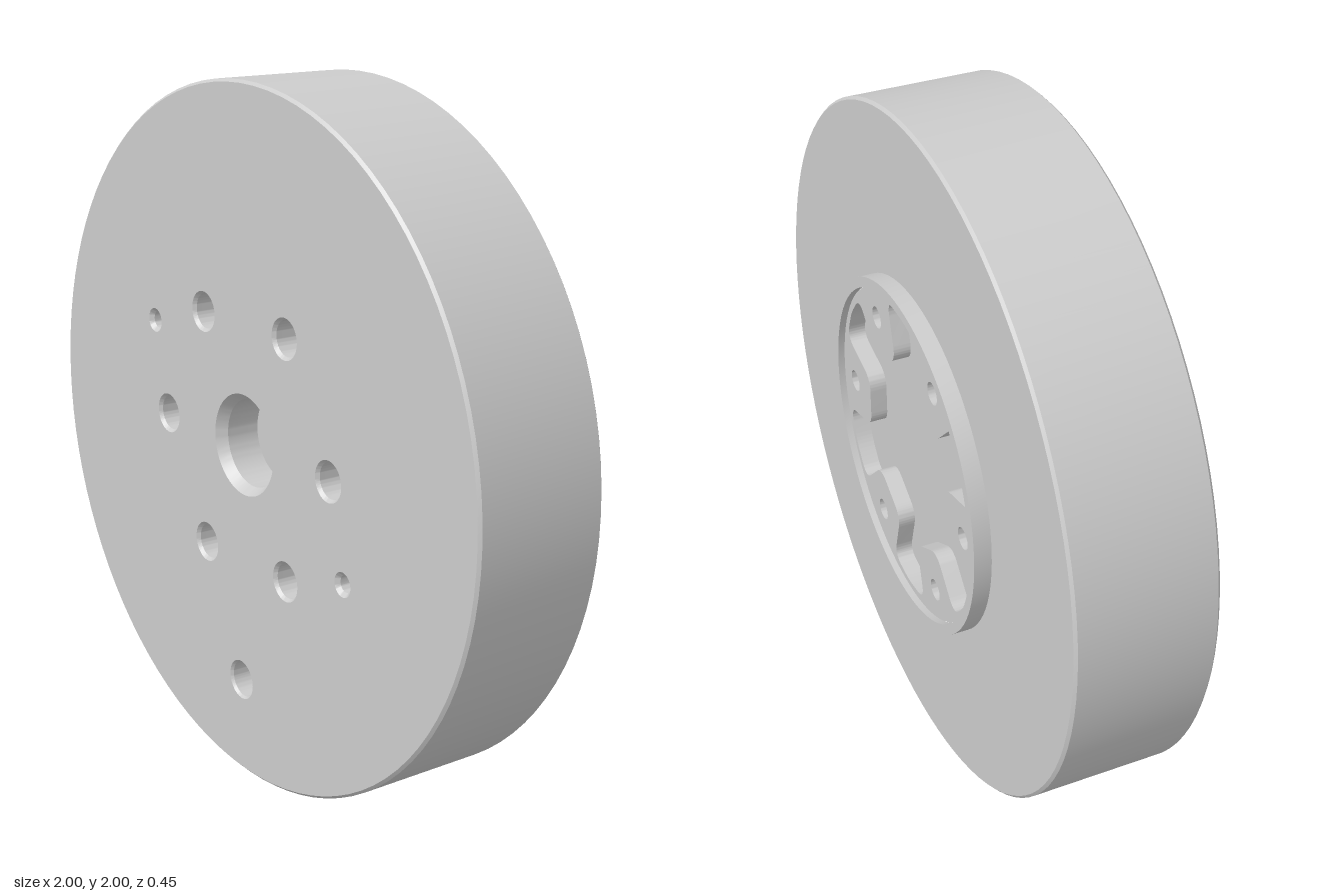
import * as THREE from 'three';
import { toCreasedNormals } from 'three/addons/utils/BufferGeometryUtils.js';

const SEG = 96;
const FRONT = 0.225, BACK = -0.225, BODY_BACK = -0.175;
const PAD = -0.205, POCKET = -0.155;
const BOLT_R = 0.395;

const material = new THREE.MeshStandardMaterial({ color: 0xcccccc });

function add(group, name, geometry) {
  const mesh = new THREE.Mesh(geometry, material);
  mesh.name = name;
  group.add(mesh);
  return mesh;
}

// Revolves [radius, z] points about the z axis
function turned(profile) {
  const pts = profile.map(([r, z]) => new THREE.Vector2(r, z));
  const g = new THREE.LatheGeometry(pts, SEG).rotateX(Math.PI / 2);
  return toCreasedNormals(g, 0.5);
}

function circle(PathType, r, x = 0, y = 0) {
  return new PathType().absarc(x, y, r, 0, Math.PI * 2, false);
}

const polar = (r, deg) => new THREE.Vector2(
  r * Math.cos(THREE.MathUtils.degToRad(deg)),
  r * Math.sin(THREE.MathUtils.degToRad(deg)));

// Closed path through corners, each rounded off
function roundedPath(corners) {
  const path = new THREE.Path();
  const n = corners.length;
  corners.forEach(({ p, r }, i) => {
    const toward = (q) => p.clone().add(q.clone().sub(p).setLength(r));
    const a = toward(corners[(i + n - 1) % n].p);
    const b = toward(corners[(i + 1) % n].p);
    if (i === 0) path.moveTo(a.x, a.y);
    else path.lineTo(a.x, a.y);
    path.quadraticCurveTo(p.x, p.y, b.x, b.y);
  });
  path.closePath();
  return path;
}

// Six-lobed pocket outline leaving a pad around every bolt
function pocketOutline() {
  const corners = [];
  for (let i = 0; i < 6; i++) {
    const a = i * 60;
    corners.push(
      { p: polar(0.285, a - 17), r: 0.045 },
      { p: polar(0.285, a + 17), r: 0.045 },
      { p: polar(0.465, a + 16), r: 0.05 },
      { p: polar(0.468, a + 30), r: 0.03 },
      { p: polar(0.465, a + 44), r: 0.05 });
  }
  return roundedPath(corners);
}

export function createModel() {
  const model = new THREE.Group();
  const disc = new THREE.Group();
  disc.name = 'disc';
  disc.position.y = 1;
  model.add(disc);

  const bolts = Array.from({ length: 6 }, (_, i) => polar(BOLT_R, i * 60));

  // Outer body with chamfered edges and the raised rear flange ring
  add(disc, 'body', turned([
    [0.485, PAD], [0.485, BACK], [0.515, BACK], [0.515, BODY_BACK],
    [0.992, BODY_BACK], [1, BODY_BACK + 0.008],
    [1, FRONT - 0.008], [0.992, FRONT]]));

  // Hole linings: position, opening radius and the bored profile
  const holes = [
    { name: 'centreBore', x: 0, y: 0,
      profile: [[0.145, 0], [0.125, -0.03], [0.125, -0.13], [0, -0.13]] },
    { name: 'locatingHole', x: -0.025, y: -0.715,
      profile: [[0.058, 0], [0.052, -0.008], [0.052, -0.16], [0, -0.185]] },
    ...[-1, 1].map((s) => ({ name: 'pinHole', x: s * 0.46, y: -s * 0.267,
      profile: [[0.035, 0], [0.024, -0.012], [0.024, -0.12], [0, -0.135]] })),
    ...bolts.map((b) => ({ name: 'boltCounterbore', x: b.x, y: b.y,
      profile: [[0.058, 0], [0.05, -0.01], [0.05, -0.2], [0.031, -0.2],
        [0.031, -0.26], [0, -0.26]] })),
  ];

  // Front face pierced by the holes
  const face = circle(THREE.Shape, 0.992);
  for (const h of holes) {
    face.holes.push(circle(THREE.Path, h.profile[0][0], h.x, h.y));
    add(disc, h.name, turned(h.profile)).position.set(h.x, h.y, FRONT);
  }
  add(disc, 'frontFace', new THREE.ShapeGeometry(face, SEG / 2)).position.z = FRONT;

  // Rear bolt pads standing around the lobed pocket
  const pads = circle(THREE.Shape, 0.485);
  pads.holes.push(pocketOutline());
  for (const b of bolts) pads.holes.push(circle(THREE.Path, 0.032, b.x, b.y));
  const padGeometry = new THREE.ExtrudeGeometry(pads, {
    depth: POCKET - PAD, bevelEnabled: false, curveSegments: SEG / 4 });
  add(disc, 'boltPads', toCreasedNormals(padGeometry, 0.5)).position.z = PAD;

  // Pocket floor facing the rear
  const floor = new THREE.CircleGeometry(0.485, SEG).rotateY(Math.PI);
  add(disc, 'pocketFloor', floor).position.z = POCKET;

  return model;
}
